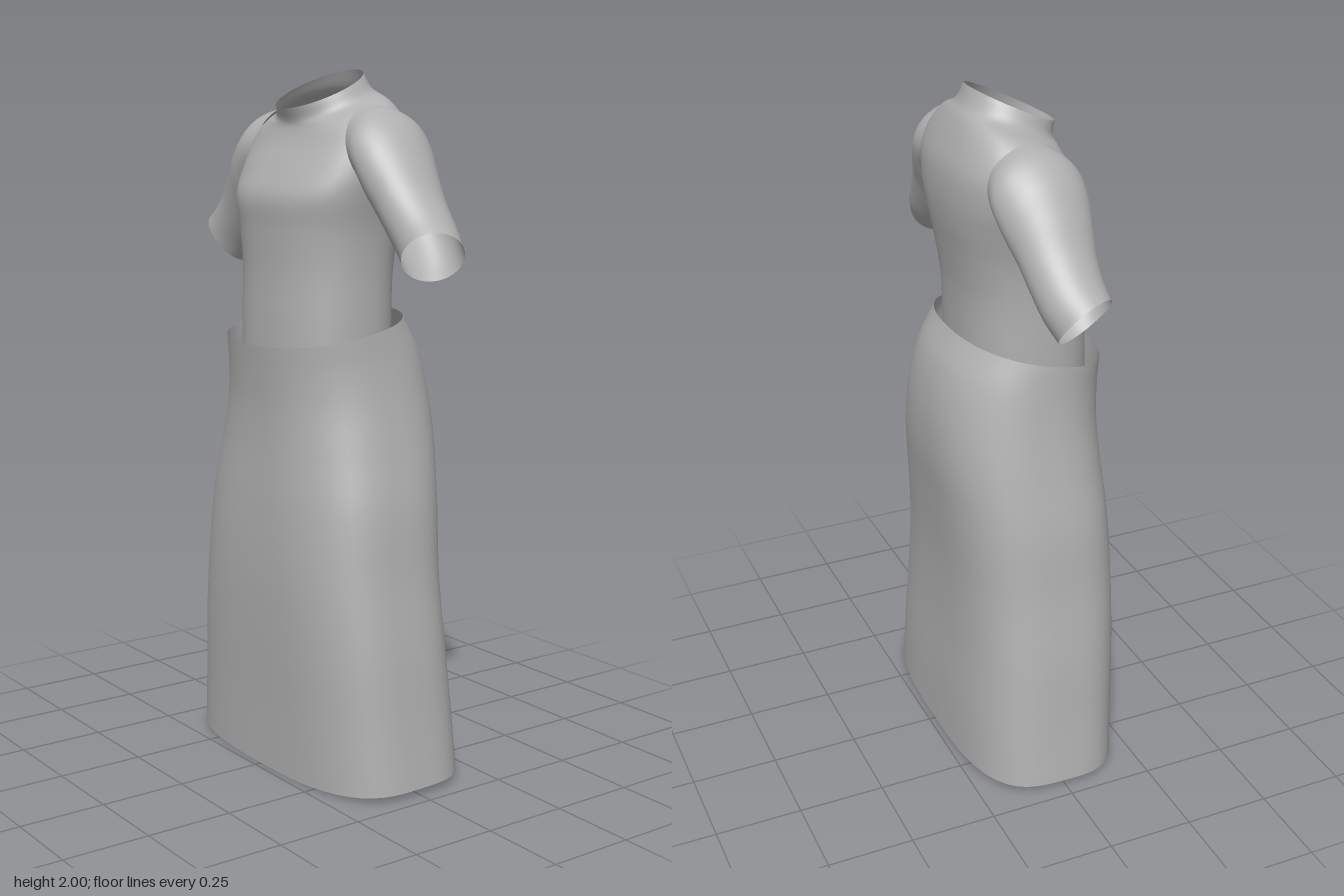
import * as THREE from 'three';

const SEGMENTS = 64;

// Smooth skin through closed cross-sections; pointAt(ring, angle) gives a point on a ring
function loft(rings, pointAt, rows) {
  const pos = [], index = [];
  for (let j = 0; j < SEGMENTS; j++) {
    const a = (j / SEGMENTS) * Math.PI * 2;
    const curve = new THREE.CatmullRomCurve3(rings.map((r) => pointAt(r, a)));
    for (let i = 0; i <= rows; i++) pos.push(...curve.getPoint(i / rows).toArray());
  }
  const stride = rows + 1;
  for (let j = 0; j < SEGMENTS; j++) {
    const k = (j + 1) % SEGMENTS;
    for (let i = 0; i < rows; i++) {
      const a = j * stride + i, b = a + 1, c = k * stride + i, d = c + 1;
      index.push(a, b, c, b, d, c);
    }
  }
  const g = new THREE.BufferGeometry();
  g.setAttribute('position', new THREE.Float32BufferAttribute(pos, 3));
  g.setIndex(index);
  g.computeVertexNormals();
  return g;
}

// Body ring: [front y, back y, half width, front z, back z, squareness, side lift]
function bodyPoint([yf, yb, w, f, b, n, lift = 0], a) {
  const c = Math.cos(a), s = Math.sin(a);
  const r = Math.pow(Math.abs(c) ** n + Math.abs(s) ** n, -1 / n);
  const u = r * c, v = r * s;
  return new THREE.Vector3(
    w * u,
    (yf + yb) / 2 + ((yf - yb) / 2) * v + lift * u * u,
    (f + b) / 2 + ((f - b) / 2) * v
  );
}

// Sleeve ring: [top x, top y, bottom x, bottom y, centre z, half depth, forward skew]
function sleevePoint(side) {
  return ([tx, ty, bx, by, zc, depth, skew], a) => {
    const c = Math.cos(a), s = -side * Math.sin(a);
    return new THREE.Vector3(
      side * ((tx + bx) / 2 + ((tx - bx) / 2) * c - skew * s),
      (ty + by) / 2 + ((ty - by) / 2) * c + skew * s,
      zc + depth * s
    );
  };
}

export function createModel() {
  const group = new THREE.Group();
  const cloth = new THREE.MeshStandardMaterial({ color: 0xb0b0b0, side: THREE.DoubleSide });
  cloth.name = 'grey cloth';

  const add = (name, geometry) => {
    const mesh = new THREE.Mesh(geometry, cloth);
    mesh.name = name;
    group.add(mesh);
  };

  // Long skirt, hem to tilted waistband
  add('skirt', loft([
    [0.005, 0.015, 0.46, 0.23, -0.235, 3.3, 0.015],
    [0.2, 0.2, 0.44, 0.236, -0.23, 3.3],
    [0.4, 0.4, 0.42, 0.245, -0.221, 3.2],
    [0.6, 0.6, 0.392, 0.25, -0.22, 3.1],
    [0.8, 0.8, 0.37, 0.245, -0.234, 2.9],
    [0.95, 0.97, 0.338, 0.237, -0.249, 2.7],
    [1.07, 1.12, 0.312, 0.236, -0.244, 2.5],
    [1.16, 1.24, 0.297, 0.242, -0.217, 2.4],
    [1.24, 1.33, 0.29, 0.25, -0.17, 2.3],
  ], bodyPoint, 48));

  // Fitted bodice, waist to raised neckline
  add('bodice', loft([
    [1.15, 1.15, 0.235, 0.215, -0.15, 2.4],
    [1.3, 1.3, 0.235, 0.213, -0.15, 2.4],
    [1.45, 1.45, 0.235, 0.21, -0.155, 2.4],
    [1.56, 1.56, 0.243, 0.214, -0.17, 2.5],
    [1.65, 1.65, 0.262, 0.216, -0.185, 2.6],
    [1.72, 1.72, 0.278, 0.183, -0.191, 2.6],
    [1.79, 1.8, 0.28, 0.142, -0.186, 2.6],
    [1.825, 1.865, 0.262, 0.126, -0.165, 2.5],
    [1.845, 1.925, 0.215, 0.121, -0.138, 2.3],
    [1.86, 1.955, 0.155, 0.124, -0.118, 2.1],
    [1.89, 2.0, 0.13, 0.138, -0.1, 2],
  ], bodyPoint, 56));

  // Short sleeves, shoulder to slanted open cuff
  for (const [side, name] of [[1, 'leftSleeve'], [-1, 'rightSleeve']]) {
    add(name, loft([
      [0.2, 1.898, 0.23, 1.68, -0.025, 0.115, 0],
      [0.268, 1.882, 0.265, 1.665, -0.022, 0.13, 0],
      [0.33, 1.835, 0.295, 1.618, -0.017, 0.125, 0],
      [0.385, 1.763, 0.33, 1.57, -0.013, 0.11, 0],
      [0.44, 1.68, 0.37, 1.52, -0.01, 0.098, 0.004],
      [0.5, 1.612, 0.41, 1.475, -0.004, 0.09, 0.012],
      [0.55, 1.567, 0.44, 1.44, 0.008, 0.08, 0.022],
    ], sleevePoint(side), 32));
  }

  return group;
}
